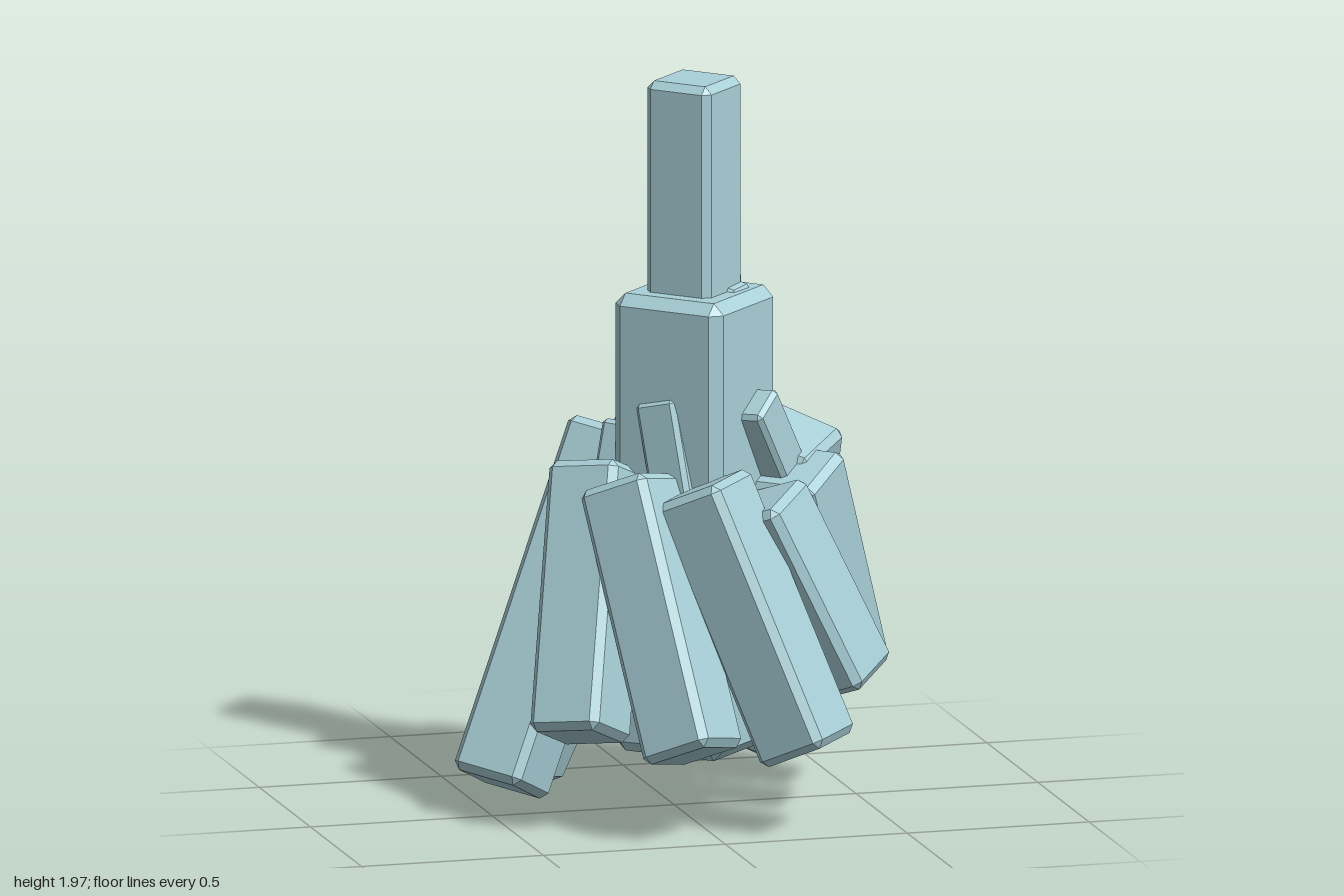
import * as THREE from 'three';
import { ConvexGeometry } from 'three/addons/geometries/ConvexGeometry.js';

const UP = new THREE.Vector3(0, 1, 0);

// Box with chamfered edges: three corner points around each of its eight corners
function chamferBox(w, h, d, b) {
  const pts = [];
  for (const sx of [-1, 1]) for (const sy of [-1, 1]) for (const sz of [-1, 1]) {
    const x = w / 2, y = h / 2, z = d / 2;
    pts.push(
      new THREE.Vector3(sx * x, sy * (y - b), sz * (z - b)),
      new THREE.Vector3(sx * (x - b), sy * y, sz * (z - b)),
      new THREE.Vector3(sx * (x - b), sy * (y - b), sz * z));
  }
  return new ConvexGeometry(pts);
}

export function createModel() {
  const group = new THREE.Group();
  const paleBlue = new THREE.MeshStandardMaterial({ color: 0xa9d0d8 });
  paleBlue.name = 'paleBlue';

  // Square bar from a top centre to a bottom centre, turned 45 degrees about its axis
  function bar(name, top, bottom, side, bevel) {
    const a = new THREE.Vector3(...top), b = new THREE.Vector3(...bottom);
    const mesh = new THREE.Mesh(chamferBox(side, a.distanceTo(b), side, bevel), paleBlue);
    mesh.name = name;
    mesh.position.copy(a).add(b).multiplyScalar(0.5);
    const axis = a.clone().sub(b).normalize();
    mesh.quaternion.setFromUnitVectors(UP, axis)
      .multiply(new THREE.Quaternion().setFromAxisAngle(UP, Math.PI / 4));
    group.add(mesh);
  }

  // Upright handle and thick core
  bar('handle', [0.05, 2, 0.015], [0.05, 1.2, 0.015], 0.195, 0.02);
  bar('core', [0.05, 1.43, 0.02], [0.05, 0.19, 0.02], 0.328, 0.03);

  // Nine splayed bars swirling around the core: top centre, bottom centre
  const splayed = [
    [[0.21, 0.98, -0.19], [0.01, 0.25, -0.46]],
    [[0.33, 1.02, -0.01], [0.34, 0.12, -0.42]],
    [[0.30, 0.95, 0.10], [0.475, 0.36, -0.075]],
    [[0.17, 0.89, 0.22], [0.41, 0.39, 0.235]],
    [[0.00, 0.95, 0.27], [0.245, 0.26, 0.45]],
    [[-0.17, 0.95, 0.16], [-0.075, 0.265, 0.46]],
    [[-0.205, 0.96, 0.00], [-0.335, 0.29, 0.265]],
    [[-0.10, 1.01, -0.20], [-0.475, 0.11, -0.02]],
    [[0.06, 1.03, -0.255], [-0.335, 0.075, -0.375]],
  ];
  splayed.forEach(([t, b], i) => bar('splayedBar' + (i + 1), t, b, 0.208, 0.02));

  // Small inner bars wedged between the core and the splayed bars
  const inner = [
    [[0.17, 1.14, 0.13], [0.36, 0.75, -0.02]],
    [[0.17, 1.09, -0.13], [0.13, 0.7, -0.3]],
    [[-0.05, 1.15, 0.08], [0.0, 0.7, 0.18]],
    [[-0.1, 1.06, -0.06], [-0.18, 0.7, 0.0]],
  ];
  inner.forEach(([t, b], i) => bar('innerBar' + (i + 1), t, b, 0.12, 0.012));

  // Two crossing slivers breaking through the top of the core
  bar('upperSliver1', [0.14, 1.445, 0.04], [0.1, 1.1, -0.03], 0.09, 0.01);
  bar('upperSliver2', [0.14, 1.46, -0.05], [0.1, 1.1, 0.04], 0.09, 0.01);

  return group;
}
